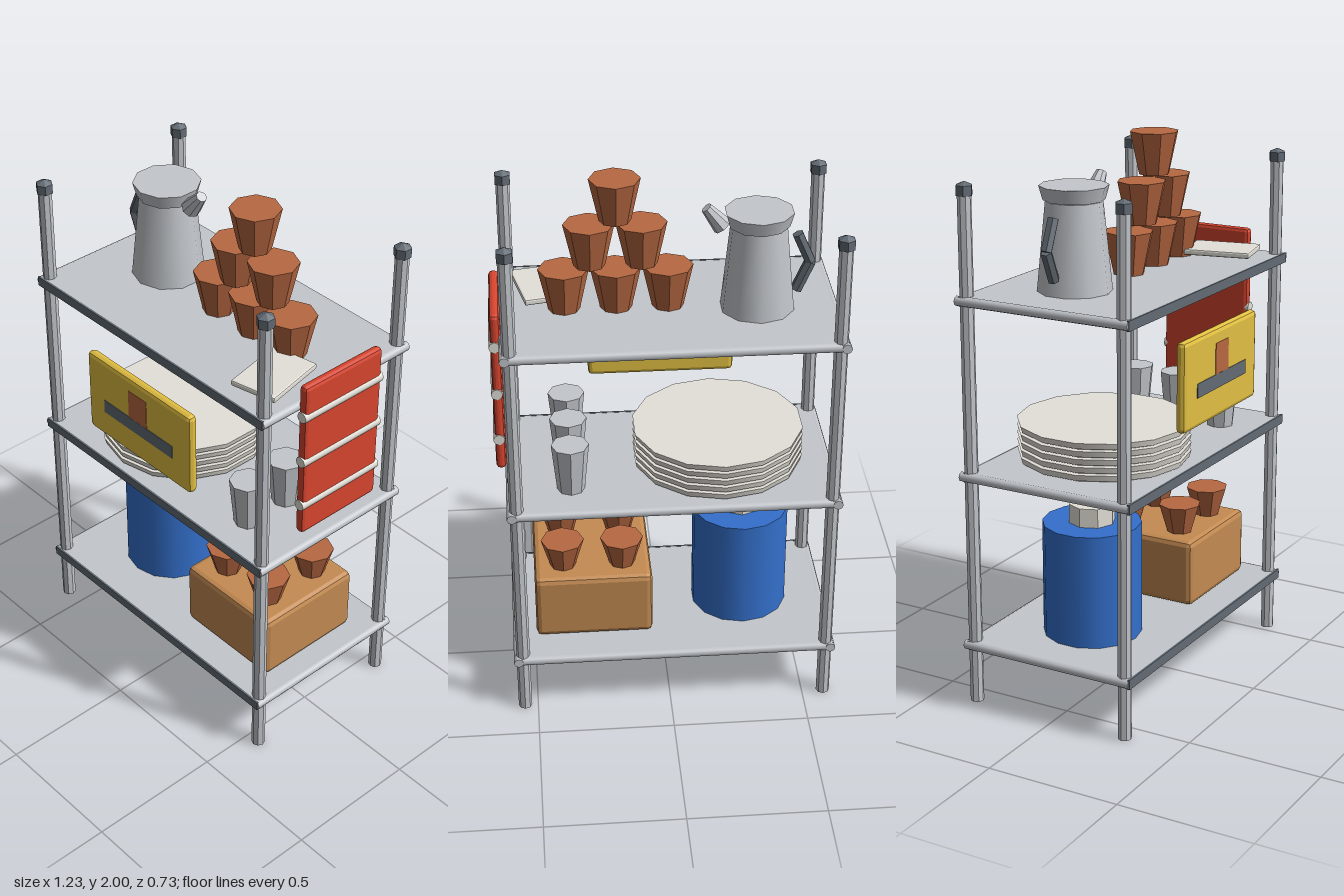
import * as THREE from 'three';
import { RoundedBoxGeometry } from 'three/addons/geometries/RoundedBoxGeometry.js';

function material(name, color) {
  const m = new THREE.MeshStandardMaterial({ color });
  m.name = name;
  return m;
}

export function createModel() {
  const steel = material('steel grey', 0xc3c7cc);
  const dark = material('dark grey', 0x626b74);
  const cream = material('pale stoneware', 0xe4e1d9);
  const terracotta = material('terracotta', 0xb76841);
  const blue = material('blue', 0x3470cc);
  const yellow = material('yellow', 0xe2bf42);
  const red = material('red', 0xd8452f);
  const brown = material('cardboard brown', 0xc48b52);

  const root = new THREE.Group();
  root.name = 'stockedShelf';

  // Faceted mesh by default; smooth keeps the round normals of the geometry
  function add(name, geometry, mat, x, y, z, smooth = false) {
    let g = geometry;
    if (!smooth) {
      g = geometry.index ? geometry.toNonIndexed() : geometry;
      g.computeVertexNormals();
    }
    const mesh = new THREE.Mesh(g, mat);
    mesh.name = name;
    mesh.position.set(x, y, z);
    root.add(mesh);
    return mesh;
  }
  const box = (name, mat, w, h, d, x, y, z) =>
    add(name, new THREE.BoxGeometry(w, h, d), mat, x, y, z);
  const bevelBox = (name, mat, w, h, d, x, y, z, r) =>
    add(name, new RoundedBoxGeometry(w, h, d, 1, r), mat, x, y, z);
  // Upright tapered cylinder standing on y
  const pot = (name, mat, rTop, rBottom, h, sides, x, y, z, smooth) =>
    add(name, new THREE.CylinderGeometry(rTop, rBottom, h, sides), mat, x, y + h / 2, z, smooth);
  // Tapered rod from a to b
  function rod(name, mat, a, b, rA, rB, sides, smooth) {
    const from = new THREE.Vector3(...a), to = new THREE.Vector3(...b);
    const dir = to.clone().sub(from);
    const mid = from.clone().add(to).multiplyScalar(0.5);
    const g = new THREE.CylinderGeometry(rB, rA, dir.length(), sides);
    const m = add(name, g, mat, mid.x, mid.y, mid.z, smooth);
    m.quaternion.setFromUnitVectors(new THREE.Vector3(0, 1, 0), dir.normalize());
  }

  // Corner posts with dark hexagonal caps
  for (const x of [-0.58, 0.548]) {
    for (const z of [-0.334, 0.287]) {
      pot('post', steel, 0.025, 0.025, 1.87, 8, x, 0, z);
      pot('postCap', dark, 0.031, 0.031, 0.035, 6, x, 1.86, z);
      pot('postCapTip', dark, 0, 0.031, 0.014, 6, x, 1.895, z);
    }
  }

  // Shelves: pale deck, round edge rails and a dark front strip
  for (const y of [0.22, 0.86, 1.495]) {
    box('shelfDeck', steel, 1.16, 0.034, 0.665, -0.016, y, -0.016);
    for (const x of [-0.597, 0.565]) {
      rod('sideRail', steel, [x, y, -0.365], [x, y, 0.318], 0.018, 0.018, 8, true);
    }
    rod('backRail', steel, [-0.605, y, -0.347], [0.572, y, -0.347], 0.018, 0.018, 8, true);
    box('frontStrip', dark, 1.18, 0.036, 0.008, -0.016, y, 0.317);
  }

  // Pitcher: body, flared lip, spout and bent handle
  const px = -0.325, pz = -0.057;
  pot('pitcherBody', steel, 0.1, 0.132, 0.315, 10, px, 1.512, pz, true);
  pot('pitcherLip', steel, 0.122, 0.108, 0.05, 10, px, 1.83, pz, true);
  rod('pitcherSpout', steel, [-0.199, 1.826, pz], [-0.142, 1.896, pz], 0.036, 0.02, 8);
  const grip = [[-0.46, 1.787, pz], [-0.507, 1.68, pz], [-0.46, 1.573, pz]];
  rod('pitcherHandleUpper', dark, grip[0], grip[1], 0.021, 0.021, 6);
  rod('pitcherHandleLower', dark, grip[1], grip[2], 0.021, 0.021, 6);

  // Pyramid of terracotta cups
  for (let row = 0; row < 3; row++) {
    for (let i = 0; i < 3 - row; i++) {
      pot('stackedCup', terracotta, 0.09, 0.056, 0.155, 8,
        0.168 + (i - (2 - row) / 2) * 0.182, 1.513 + row * 0.166, -0.021);
    }
  }

  // Card lying on the top shelf
  const card = bevelBox('card', cream, 0.177, 0.022, 0.25, 0.425, 1.533, 0.127, 0.006);
  card.rotation.y = 0.205;

  // Plate stack: each plate has an upright rim over a narrower foot
  for (let i = 0; i < 5; i++) {
    const y = 0.877 + i * 0.029;
    pot('plateFoot', cream, 0.29, 0.29, 0.007, 14, -0.196, y, -0.02, true);
    pot('plate', cream, 0.314, 0.308, 0.022, 14, -0.196, y + 0.007, -0.02, true);
  }

  // Row of metal tumblers
  for (const z of [0.167, -0.016, -0.199]) {
    pot('tumbler', steel, 0.068, 0.05, 0.183, 8, 0.349, 0.877, z);
  }

  // Blue drum with pale stopper
  pot('drum', blue, 0.18, 0.18, 0.422, 14, -0.287, 0.237, -0.018, true);
  pot('drumStopper', cream, 0.085, 0.085, 0.07, 8, -0.287, 0.659, -0.018);

  // Carton with four small cups on top
  bevelBox('carton', brown, 0.436, 0.253, 0.436, 0.276, 0.367, -0.016, 0.02);
  for (const x of [0.166, 0.386]) {
    for (const z of [0.095, -0.128]) {
      pot('smallCup', terracotta, 0.08, 0.046, 0.115, 8, x, 0.488, z);
    }
  }

  // Yellow sign on the front with simple painted shapes
  bevelBox('sign', yellow, 0.55, 0.327, 0.038, -0.016, 1.204, 0.339, 0.016);
  box('signSquare', terracotta, 0.096, 0.117, 0.004, -0.016, 1.257, 0.358);
  box('signBar', dark, 0.367, 0.052, 0.005, -0.016, 1.176, 0.358);

  // Red side panel with pale bars standing proud of its outer face
  bevelBox('sidePanel', red, 0.036, 0.615, 0.358, 0.594, 1.278, -0.02, 0.014);
  for (const y of [1.093, 1.278, 1.464]) {
    rod('sidePanelBar', cream, [0.597, y, -0.203], [0.597, y, 0.163], 0.021, 0.021, 8, true);
  }

  return root;
}
